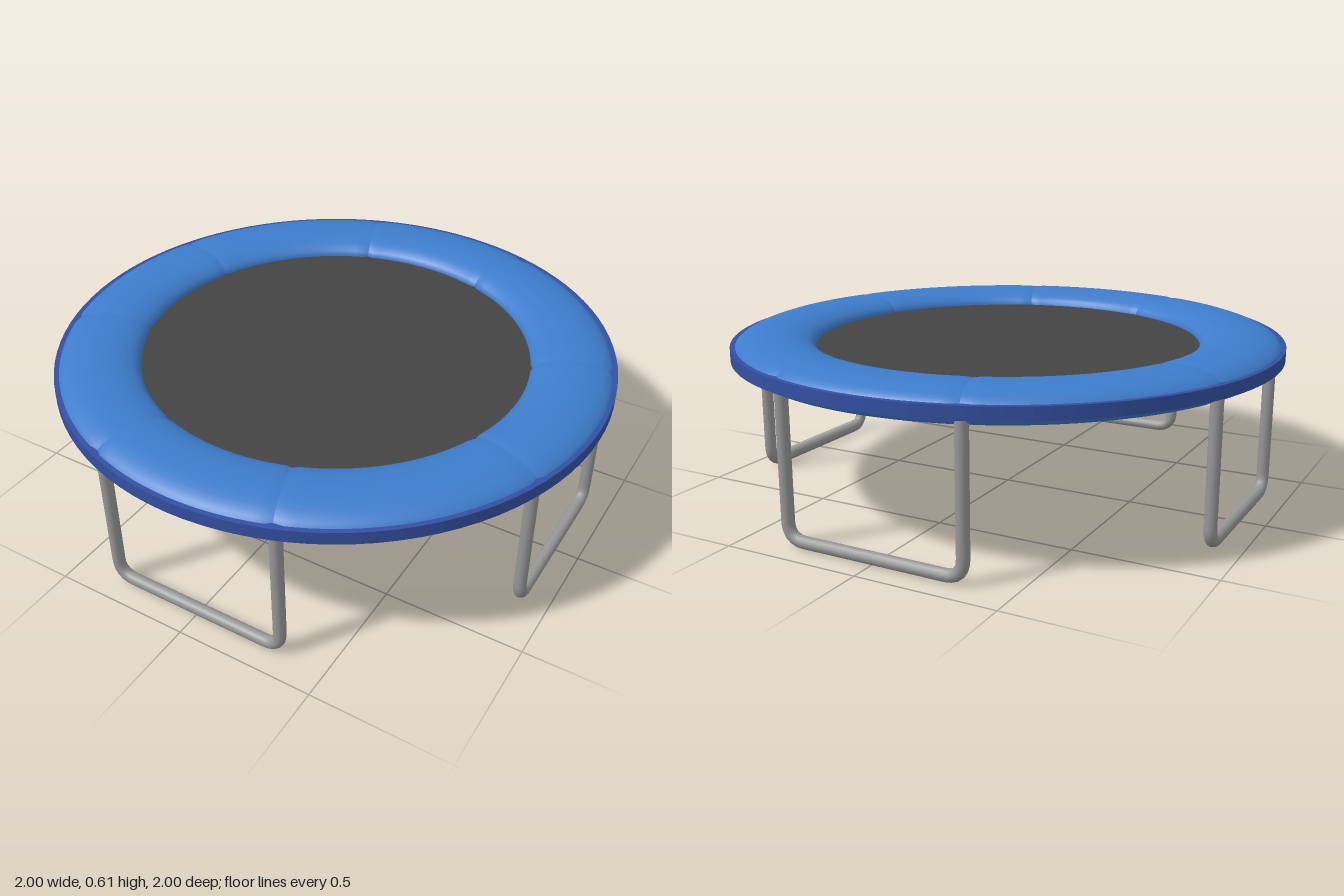
import * as THREE from 'three';

const padBlue = new THREE.MeshStandardMaterial({ name: 'pad blue', color: 0x3d7ccb });
const bandBlue = new THREE.MeshStandardMaterial({ name: 'dark blue trim', color: 0x3350a2 });
const matGrey = new THREE.MeshStandardMaterial({ name: 'mat charcoal', color: 0x444444 });
const steel = new THREE.MeshStandardMaterial({ name: 'steel grey', color: 0x969696 });

const PAD_Y = 0.55, PAD_R = 0.845, PAD_W = 0.147, PAD_H = 0.06;
const rad = THREE.MathUtils.degToRad;

function add(parent, name, geometry, material) {
  const mesh = new THREE.Mesh(geometry, material);
  mesh.name = name;
  parent.add(mesh);
  return mesh;
}

// One cushion: a swept soft oval, pinched at both ends to form the seams
function cushionGeometry(start, length) {
  const profile = [];
  for (let i = 0; i <= 32; i++) {
    const t = (i / 32) * Math.PI * 2, c = Math.cos(t), s = Math.sin(t);
    const soft = (v) => Math.sign(v) * Math.abs(v) ** 0.9;
    profile.push(new THREE.Vector2(PAD_R + PAD_W * soft(c), PAD_Y + PAD_H * soft(s)));
  }
  const columns = 24;
  const geometry = new THREE.LatheGeometry(profile, columns, rad(start), rad(length));
  const pos = geometry.attributes.position;
  for (const column of [0, columns]) {
    for (let j = 0; j < profile.length; j++) {
      const k = column * profile.length + j;
      const x = pos.getX(k), z = pos.getZ(k), r = Math.hypot(x, z);
      const scale = (PAD_R + (r - PAD_R) * 0.95) / r;
      pos.setXYZ(k, x * scale, PAD_Y + (pos.getY(k) - PAD_Y) * 0.95, z * scale);
    }
  }
  geometry.computeVertexNormals();
  return geometry;
}

// U-shaped leg path with rounded bottom corners
function legGeometry(half) {
  const bottom = 0.024, top = 0.53, bend = 0.065;
  const v = (x, y) => new THREE.Vector3(x, y, 0);
  const path = new THREE.CurvePath();
  path.add(new THREE.LineCurve3(v(-half, top), v(-half, bottom + bend)));
  path.add(new THREE.QuadraticBezierCurve3(v(-half, bottom + bend), v(-half, bottom), v(-half + bend, bottom)));
  path.add(new THREE.LineCurve3(v(-half + bend, bottom), v(half - bend, bottom)));
  path.add(new THREE.QuadraticBezierCurve3(v(half - bend, bottom), v(half, bottom), v(half, bottom + bend)));
  path.add(new THREE.LineCurve3(v(half, bottom + bend), v(half, top)));
  return new THREE.TubeGeometry(path, 96, 0.022, 14, false);
}

export function createModel() {
  const group = new THREE.Group();
  group.name = 'trampoline';

  // Jumping mat
  const mat = add(group, 'jumpingMat', new THREE.CylinderGeometry(0.72, 0.72, 0.012, 96), matGrey);
  mat.position.y = PAD_Y;

  // Eight cushions, alternating short and long around the ring
  const pad = new THREE.Group();
  pad.name = 'safetyPad';
  for (let i = 0; i < 4; i++) {
    add(pad, 'shortCushion', cushionGeometry(i * 90 - 20, 40), padBlue);
    add(pad, 'longCushion', cushionGeometry(i * 90 + 20, 50), padBlue);
  }
  group.add(pad);

  // Flat trim band around the rim, each face a separate strip for sharp edges
  const corners = [[0.965, 0.53], [1, 0.53], [1, 0.575], [0.965, 0.575]].map(([r, y]) => new THREE.Vector2(r, y));
  for (let i = 0; i < 3; i++) {
    add(group, 'trimBand', new THREE.LatheGeometry([corners[i], corners[i + 1]], 96), bandBlue);
  }

  // Four U-shaped legs
  for (let i = 0; i < 4; i++) {
    const leg = add(group, 'leg', legGeometry(i % 2 ? 0.305 : 0.33), steel);
    const angle = (i * Math.PI) / 2;
    leg.rotation.y = angle;
    leg.position.set(0.9 * Math.sin(angle), 0, 0.9 * Math.cos(angle));
  }
  return group;
}
